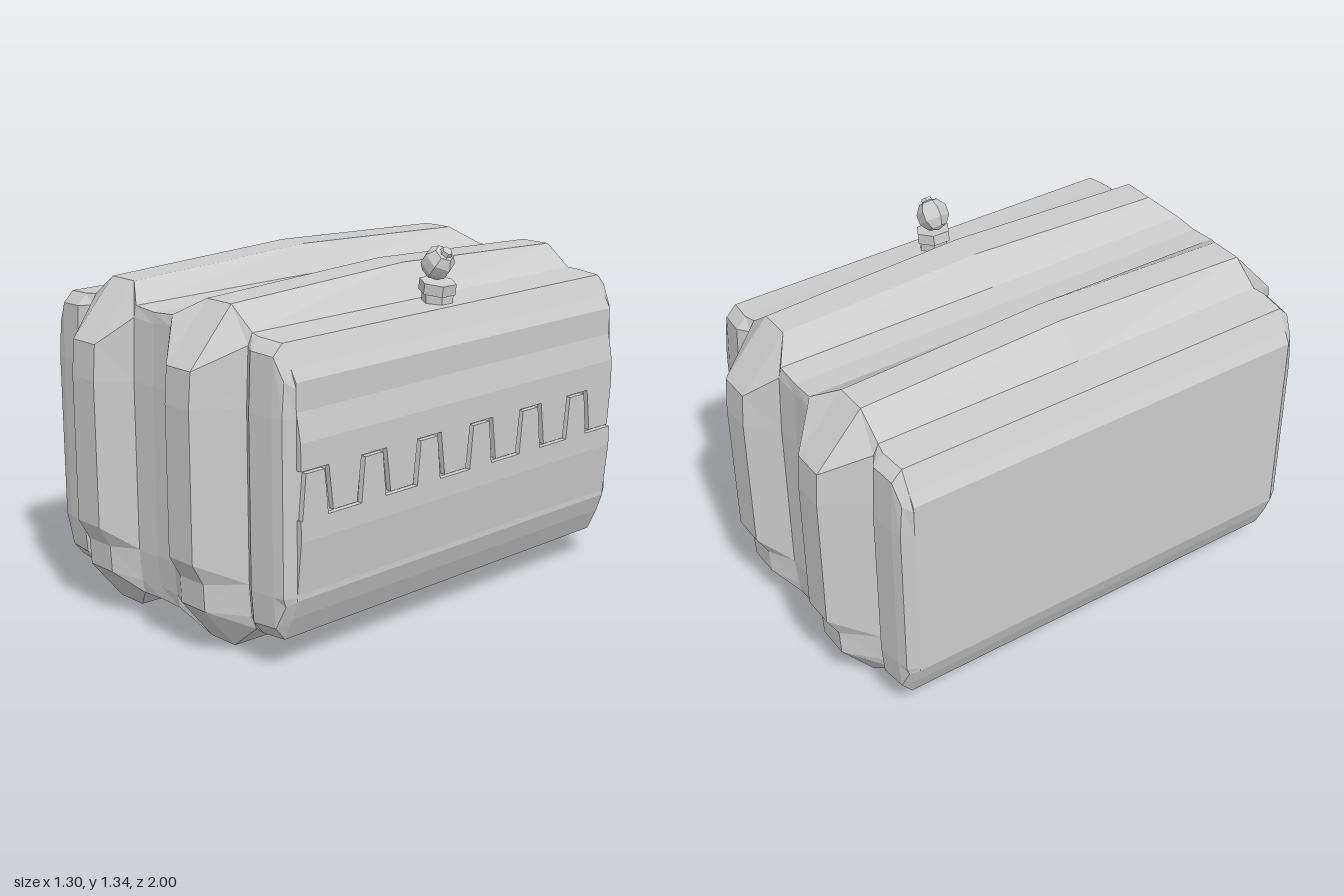
import * as THREE from 'three';

const material = new THREE.MeshStandardMaterial({ color: 0xcccccc, flatShading: true });

function part(name, geometry, parent) {
  const mesh = new THREE.Mesh(geometry, material);
  mesh.name = name;
  parent.add(mesh);
  return mesh;
}

// Half cross-sections as [z, y], from top centre to bottom centre
const RIB = [[0, 1.262], [0.81, 1.23], [0.99, 1.03], [1, 0.9], [1, 0.36], [0.955, 0.28], [0.95, 0.18], [0.82, 0.02], [0, 0]];
const END = [[0, 1.02], [0.81, 1.02], [0.81, 1.0], [0.81, 0.9], [0.81, 0.36], [0.81, 0.29], [0.81, 0.28], [0.81, 0.27], [0, 0.27]];
const section = (top, bottom, depth, corner) => [
  [0, top], [corner, top], [depth - 0.01, top - 0.04], [depth, 0.9], [depth, 0.36],
  [depth, 0.28], [depth - 0.01, bottom + 0.05], [corner, bottom], [0, bottom],
];

// Ribbed hull, lofted along x through mirrored stations
function hullGeometry() {
  const half = [
    [0.1, section(1.168, 0.11, 0.9, 0.88)],
    [0.2, RIB],
    [0.325, RIB],
    [0.43, section(1.15, 0.11, 0.84, 0.81)],
    [0.475, section(1.146, 0.112, 0.87, 0.82)],
    [0.575, section(1.14, 0.115, 0.86, 0.81)],
    [0.615, section(1.063, 0.2, 0.85, 0.81)],
    [0.64, END],
  ];
  const stations = [
    ...half.map(([x, s]) => [-x, s]).reverse(),
    [0, section(1.16, 0.114, 0.895, 0.88)],
    ...half,
  ];
  const positions = [], index = [];
  for (const [x, s] of stations) {
    const loop = [...s, ...s.slice(1, -1).reverse().map(([z, y]) => [-z, y])];
    for (const [z, y] of loop) positions.push(x - 0.01, y, z);
  }
  const n = 16, last = (stations.length - 1) * n;
  for (let i = 0; i < last; i += n) {
    for (let j = 0; j < n; j++) {
      const a = i + j, b = i + (j + 1) % n;
      index.push(a, b, b + n, a, b + n, a + n);
    }
  }
  for (let j = 1; j < n - 1; j++) {
    index.push(0, j + 1, j, last, last + j, last + j + 1);
  }
  const g = new THREE.BufferGeometry();
  g.setAttribute('position', new THREE.Float32BufferAttribute(positions, 3));
  g.setIndex(index);
  const flat = g.toNonIndexed();
  flat.computeVertexNormals();
  return flat;
}

const shapeOf = (points) => new THREE.Shape(points.map(([x, y]) => new THREE.Vector2(x, y)));

// Strip with an x-y profile running along z
function strip(points) {
  const g = new THREE.ExtrudeGeometry(shapeOf(points), { depth: 1.62, bevelEnabled: false });
  return g.translate(0, 0, -0.81);
}

// Interlocking tooth: a trapezoid in the z-y plane, raised towards +x
function tooth(z, low, high, lowHalf, highHalf) {
  const clamp = (v) => Math.max(-0.81, Math.min(0.81, v));
  const points = [
    [clamp(z - lowHalf), low], [clamp(z + lowHalf), low],
    [clamp(z + highHalf), high], [clamp(z - highHalf), high],
  ].map(([pz, y]) => [-pz, y]);
  const g = new THREE.ExtrudeGeometry(shapeOf(points), { depth: 0.03, bevelEnabled: false });
  return g.rotateY(Math.PI / 2).translate(0.62, 0, 0);
}

export function createModel() {
  const model = new THREE.Group();
  model.name = 'ribbedChest';
  part('hull', hullGeometry(), model);

  // Toothed seam on the left side
  const seam = new THREE.Group();
  seam.name = 'toothedSeam';
  model.add(seam);
  part('upperPanel', strip([[0.62, 0.93], [0.63, 0.92], [0.65, 0.82], [0.65, 0.725], [0.62, 0.725]]), seam);
  part('lowerPanel', strip([[0.62, 0.29], [0.63, 0.29], [0.65, 0.48], [0.65, 0.555], [0.62, 0.555]]), seam);
  for (let i = 0; i < 6; i++) {
    const z = 0.61 - i * 0.27;
    part('upperTooth', tooth(z, 0.565, 0.725, 0.055, 0.075), seam);
    part('lowerTooth', tooth(z + 0.135, 0.555, 0.715, 0.058, 0.042), seam);
  }

  // Ball knob on top
  const knob = new THREE.Group();
  knob.name = 'knob';
  knob.position.set(0.485, 0, 0);
  model.add(knob);
  part('knobStem', new THREE.CylinderGeometry(0.058, 0.058, 0.07, 6), knob).position.y = 1.165;
  const collar = part('knobCollar', new THREE.CylinderGeometry(0.068, 0.068, 0.04, 6), knob);
  collar.position.set(0, 1.198, 0);
  collar.rotation.z = -0.15;
  const ball = part('knobBall', new THREE.SphereGeometry(0.062, 6, 5), knob);
  ball.position.y = 1.283;
  ball.rotation.z = -0.7;
  const cap = part('knobCap', new THREE.CylinderGeometry(0.02, 0.025, 0.02, 6), knob);
  cap.position.set(0.04, 1.325, 0);
  cap.rotation.z = -0.7;

  return model;
}
